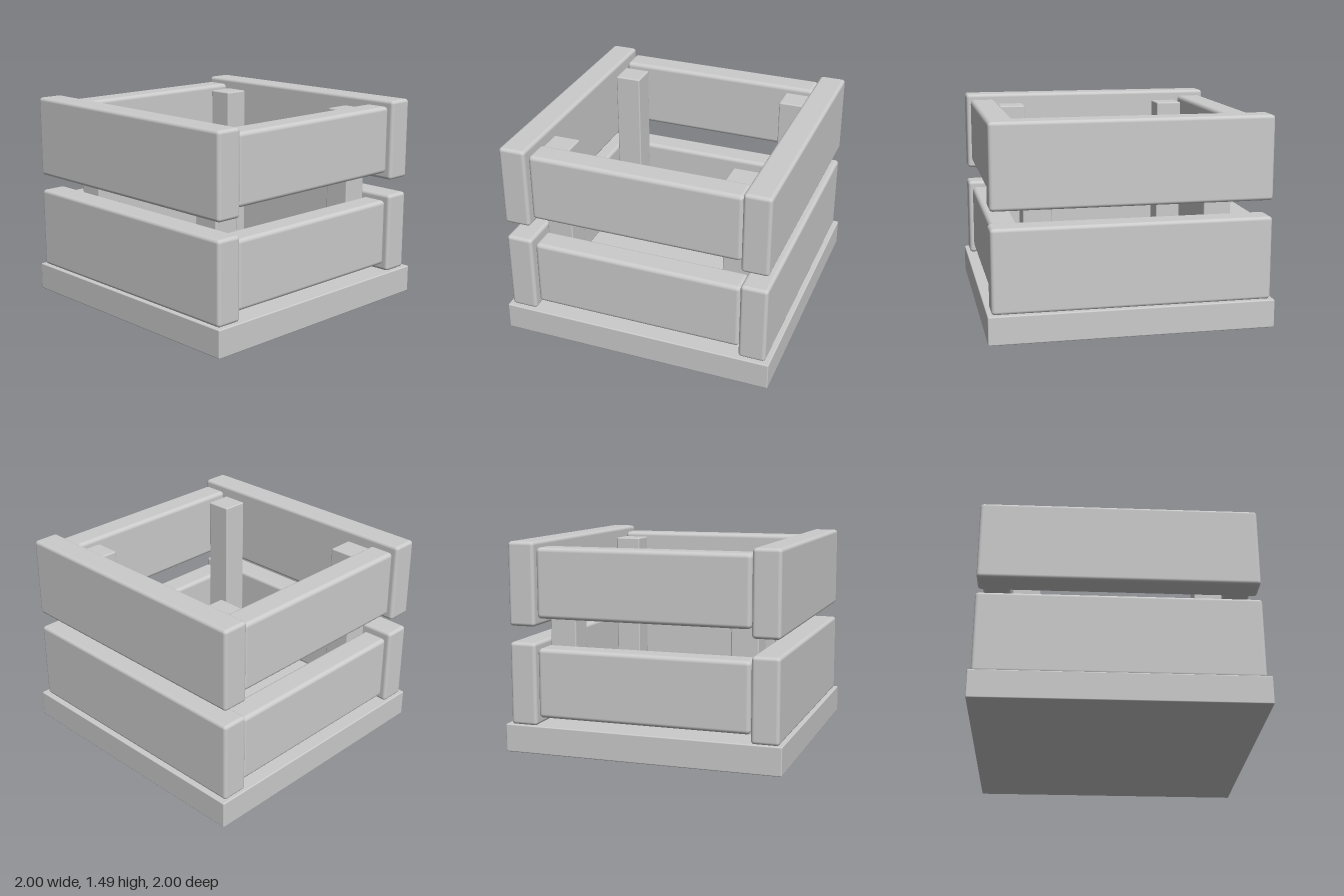
import * as THREE from 'three';
import { RoundedBoxGeometry } from 'three/addons/geometries/RoundedBoxGeometry.js';

const material = new THREE.MeshStandardMaterial({ color: 0xcccccc });

// Softly bevelled block given by its [min, max] extent on each axis
function block(name, [x0, x1], [y0, y1], [z0, z1], bevel) {
  const geometry = new RoundedBoxGeometry(x1 - x0, y1 - y0, z1 - z0, 3, bevel);
  const mesh = new THREE.Mesh(geometry, material);
  mesh.name = name;
  mesh.position.set((x0 + x1) / 2, (y0 + y1) / 2, (z0 + z1) / 2);
  return mesh;
}

export function createModel() {
  const crate = new THREE.Group();
  crate.name = 'crate';

  // Floor slab
  crate.add(block('base', [-1, 1], [0, 0.2], [-1, 1], 0.008));

  // Corner posts inside the walls
  const postX = { right: [-0.77, -0.575], left: [0.565, 0.76] };
  const postZ = { back: [-0.74, -0.545], front: [0.53, 0.725] };
  for (const [side, x] of Object.entries(postX)) {
    for (const [end, z] of Object.entries(postZ)) {
      crate.add(block(`${end}${side}Post`, x, [0.19, 1.415], z, 0.01));
    }
  }

  // Tall side planks, two per side
  const sideX = { right: [-0.975, -0.78], left: [0.77, 0.965] };
  const sideY = { lower: [0.195, 0.785], upper: [0.9, 1.49] };
  for (const [side, x] of Object.entries(sideX)) {
    for (const [level, y] of Object.entries(sideY)) {
      crate.add(block(`${level}${side}Plank`, x, y, [-0.98, 0.97], 0.025));
    }
  }

  // Shorter end planks, two at the front and two at the back
  const endZ = { front: [0.745, 0.94], back: [-0.955, -0.76] };
  const endY = { lower: [0.25, 0.745], upper: [0.955, 1.45] };
  for (const [end, z] of Object.entries(endZ)) {
    for (const [level, y] of Object.entries(endY)) {
      crate.add(block(`${level}${end}Plank`, [-0.77, 0.765], y, z, 0.03));
    }
  }

  return crate;
}
